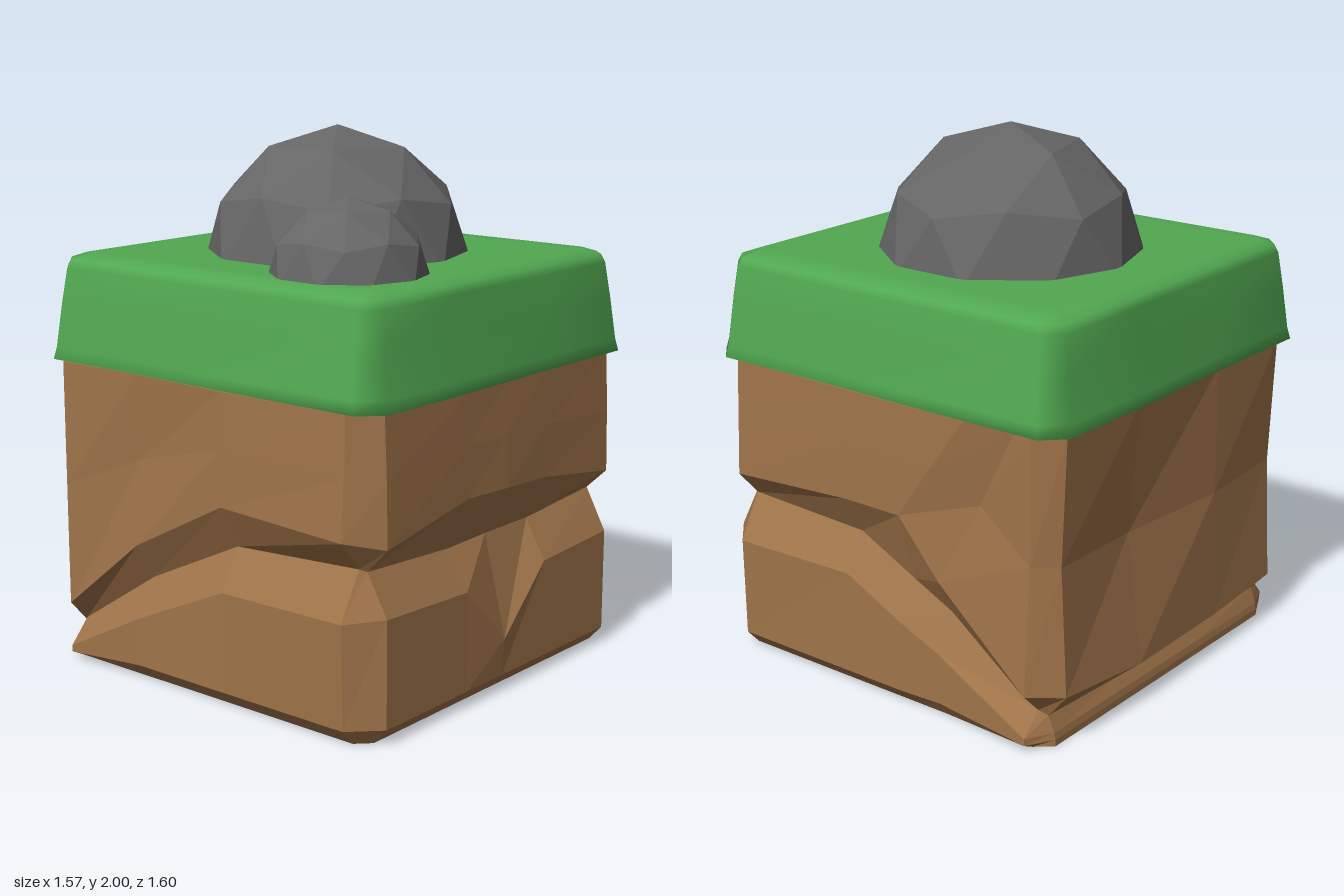
import * as THREE from 'three';

// Skin a stack of closed rings (counterclockwise from above, bottom first), capped at both ends.
function loft(rings) {
  const n = rings[0].length, pos = [], idx = [];
  rings.forEach(r => r.forEach(p => pos.push(...p)));
  for (let k = 0; k < rings.length - 1; k++)
    for (let i = 0; i < n; i++) {
      const a = k * n + i, b = k * n + (i + 1) % n;
      idx.push(a, b, b + n, a, b + n, a + n);
    }
  const last = (rings.length - 1) * n, c = rings.length * n;
  pos.push(0, rings[0][0][1], 0, 0, rings[rings.length - 1][0][1], 0);
  for (let i = 0; i < n; i++) {
    const j = (i + 1) % n;
    idx.push(c, j, i, c + 1, last + i, last + j);
  }
  const g = new THREE.BufferGeometry();
  g.setAttribute('position', new THREE.Float32BufferAttribute(pos, 3));
  g.setIndex(idx);
  g.computeVertexNormals();
  return g;
}

function addMesh(group, name, geometry, color, flatShading) {
  const mesh = new THREE.Mesh(geometry, new THREE.MeshStandardMaterial({ color, flatShading }));
  mesh.name = name;
  group.add(mesh);
  return mesh;
}

const clamp = (v, m) => Math.max(-m, Math.min(m, v));

// Dirt columns: x, z, then heights of lower lip, groove and upper lip,
// inset of the middle, inset of the top, z shift of the top.
const columns = [
  [-0.67, 0.775, 0.45, 0.60, 0.69, 0, 0.01, 0],
  [-0.22, 0.775, 0.43, 0.575, 0.77, 0, 0, 0],
  [0.00, 0.785, 0.20, 0.58, 0.765, 0, 0, 0],
  [0.26, 0.775, 0.43, 0.58, 0.75, 0, 0, 0],
  [0.67, 0.775, 0.45, 0.61, 0.69, 0, 0.01, 0],
  [0.78, 0.67, 0.44, 0.61, 0.71, 0, 0.01, 0],
  [0.775, 0.14, 0.45, 0.59, 0.74, 0, 0, 0],
  [0.775, -0.11, 0.33, 0.47, 0.74, 0, 0, -0.29],
  [0.765, -0.28, 0.25, 0.39, 0.53, 0.02, 0.04, -0.31],
  [0.77, -0.66, 0.05, 0.13, 0.21, 0.01, 0.03, 0],
  [0.67, -0.765, 0.05, 0.11, 0.20, 0.03, 0.01, 0],
  [0.25, -0.785, 0.05, 0.10, 0.17, 0.05, 0.01, 0],
  [-0.25, -0.775, 0.05, 0.10, 0.17, 0.01, 0.01, 0],
  [-0.66, -0.765, 0.05, 0.11, 0.19, 0.03, 0.01, 0],
  [-0.77, -0.67, 0.05, 0.14, 0.22, 0.01, 0, 0],
  [-0.775, -0.30, 0.24, 0.38, 0.52, 0.03, 0.01, 0],
  [-0.775, 0.12, 0.43, 0.58, 0.74, 0, 0, 0],
  [-0.785, 0.67, 0.44, 0.61, 0.72, 0, 0.01, 0],
];

function dirtGeometry() {
  const at = (x, z, y, m, mz = m) => [clamp(x, m), y, clamp(z, mz)];
  const levels = [
    ([x, z]) => at(x, z, 0, 0.72),
    ([x, z, lo]) => at(x, z, Math.min(0.06, lo * 0.5), 0.775, z < -0.6 ? 0.72 : 0.775),
    ([x, z, lo]) => at(x, z, lo, 0.785, z < -0.6 ? 0.715 : 0.785),
    ([x, z, , gr]) => at(x, z, gr, 0.69),
    ([x, z, , , up]) => at(x, z, up, 0.785),
    ([x, z, , , up, m, t, s]) => at(x, z + s / 2, (up + 1.15) / 2, 0.78 - m - t),
    ([x, z, , , , , t, s]) => at(x, z + s, 1.15, 0.77 - t),
    ([x, z]) => at(x, z, 1.3, 0.7),
  ];
  return loft(levels.map(f => columns.map(f)));
}

// Grass cap: rounded-off square rings, slightly wavy on the sides.
function grassGeometry() {
  const ring = ([hx, hz, y, c, wave]) => {
    const out = [];
    const ends = [[-hx, hz], [hx, hz], [hx, -hz], [-hx, -hz]];
    ends.forEach(([ax, az], side) => {
      const [bx, bz] = ends[(side + 1) % 4];
      const len = Math.hypot(bx - ax, bz - az);
      [c / len, 0.32, 0.68, 1 - c / len].forEach((t, i) => {
        const w = 1 + wave * [0, 1, -0.6, 0][i] * (side % 2 ? -1 : 1);
        out.push([(ax + (bx - ax) * t) * (side % 2 ? w : 1), y,
          (az + (bz - az) * t) * (side % 2 ? 1 : w)]);
      });
    });
    return out;
  };
  return loft([
    [0.64, 0.66, 1.16, 0.08, 0],
    [0.755, 0.775, 1.15, 0.08, 0],
    [0.776, 0.795, 1.155, 0.08, 0.005],
    [0.768, 0.785, 1.20, 0.08, 0.008],
    [0.745, 0.765, 1.36, 0.07, -0.008],
    [0.725, 0.748, 1.49, 0.065, 0],
    [0.712, 0.735, 1.52, 0.06, 0],
    [0.665, 0.69, 1.538, 0.05, 0],
    [0.60, 0.62, 1.538, 0.04, 0],
  ].map(ring));
}

// Faceted boulder with a corner pointing straight up.
function rockGeometry(r) {
  const tip = new THREE.Vector3(0, 1, (1 + Math.sqrt(5)) / 2).normalize();
  const q = new THREE.Quaternion().setFromUnitVectors(tip, new THREE.Vector3(0, 1, 0));
  return new THREE.IcosahedronGeometry(r, 1).applyQuaternion(q).rotateY(Math.PI / 2);
}

export function createModel() {
  const model = new THREE.Group();
  model.name = 'groundBlock';
  addMesh(model, 'dirtBlock', dirtGeometry(), 0xa0744a, true);
  addMesh(model, 'grassCap', grassGeometry(), 0x51a851, false);
  addMesh(model, 'largeRock', rockGeometry(0.495), 0x666666, true).position.set(0.03, 1.505, -0.025);
  addMesh(model, 'smallRock', rockGeometry(0.285), 0x666666, true).position.set(-0.375, 1.515, 0.365);
  return model;
}
